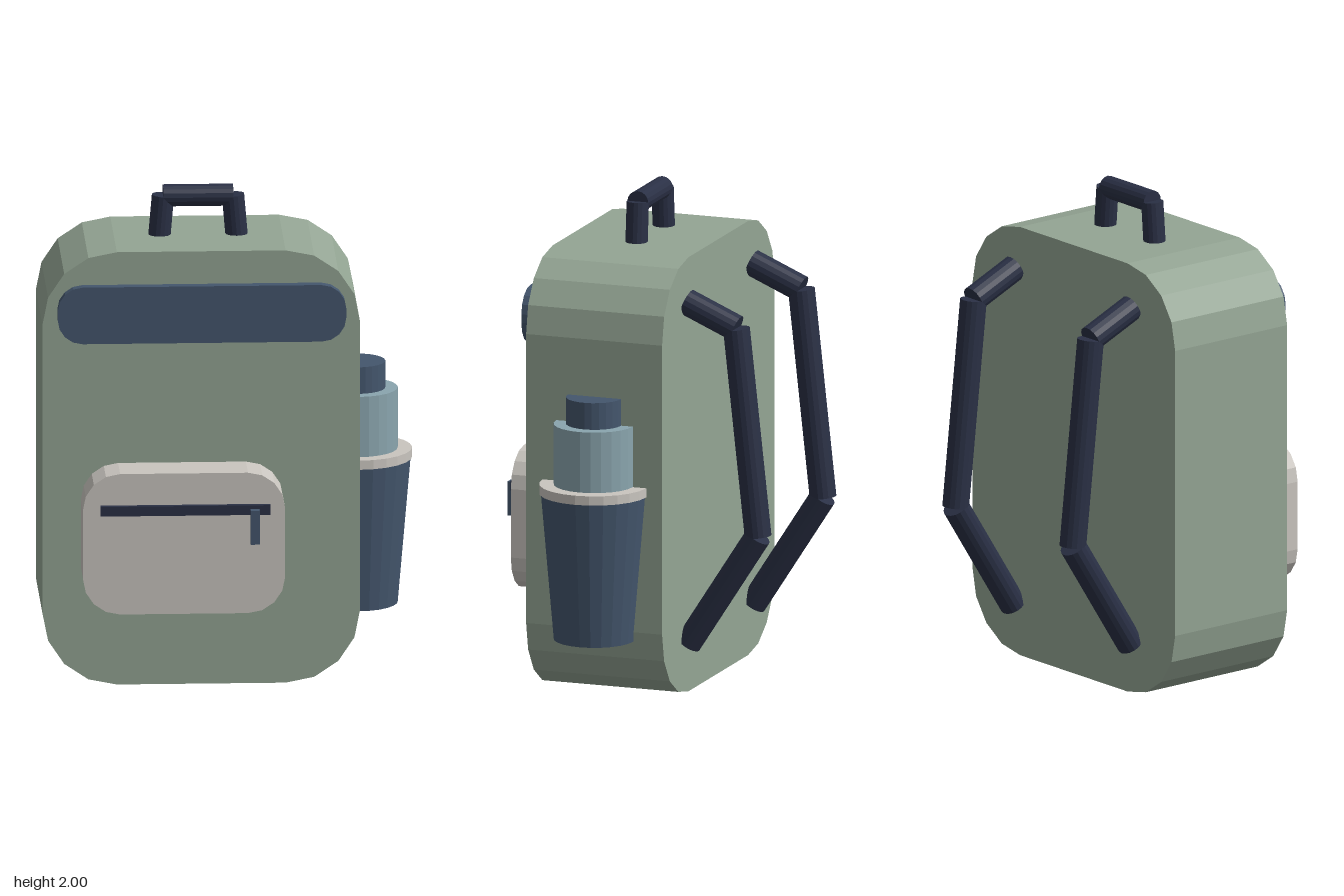
import * as THREE from 'three';

const mat = (name, color) => {
  const m = new THREE.MeshStandardMaterial({ color, flatShading: true });
  m.name = name;
  return m;
};

export function createModel() {
  const sage = mat('sage fabric', 0x94a594);
  const cream = mat('cream fabric', 0xc9c5bf);
  const blue = mat('slate blue', 0x44566d);
  const navy = mat('dark navy', 0x2a3045);
  const aqua = mat('pale aqua', 0x8aa5ae);

  const model = new THREE.Group();
  model.name = 'backpack';

  const add = (name, geometry, material, parent = model) => {
    const mesh = new THREE.Mesh(geometry, material);
    mesh.name = name;
    parent.add(mesh);
    return mesh;
  };

  // Panel with rounded corners in the xy plane, extruded from z0 to z1
  const panel = (name, x0, x1, y0, y1, z0, z1, r, material) => {
    const s = new THREE.Shape();
    s.absarc(x1 - r, y1 - r, r, 0, Math.PI / 2);
    s.absarc(x0 + r, y1 - r, r, Math.PI / 2, Math.PI);
    s.absarc(x0 + r, y0 + r, r, Math.PI, Math.PI * 1.5);
    s.absarc(x1 - r, y0 + r, r, Math.PI * 1.5, Math.PI * 2);
    const g = new THREE.ExtrudeGeometry(s, { depth: z1 - z0, bevelEnabled: false, curveSegments: 2 });
    return add(name, g.translate(0, 0, z0), material);
  };

  const box = (name, x0, x1, y0, y1, z0, z1, material) =>
    add(name, new THREE.BoxGeometry(x1 - x0, y1 - y0, z1 - z0), material)
      .position.set((x0 + x1) / 2, (y0 + y1) / 2, (z0 + z1) / 2);

  // Straight round bar between two points
  const bar = (name, a, b, r, material, parent) => {
    const p = new THREE.Vector3(...a);
    const d = new THREE.Vector3(...b).sub(p);
    const mesh = add(name, new THREE.CylinderGeometry(r, r, d.length(), 16), material, parent);
    mesh.position.copy(p).addScaledVector(d, 0.5);
    mesh.quaternion.setFromUnitVectors(new THREE.Vector3(0, 1, 0), d.normalize());
  };

  // Bag, top flap strip and front pocket
  panel('body', -0.755, 0.525, 0, 1.795, -0.225, 0.36, 0.3, sage);
  panel('topStrip', -0.695, 0.468, 1.425, 1.66, 0.36, 0.402, 0.1, blue);
  panel('frontPocket', -0.6, 0.215, 0.337, 0.92, 0.36, 0.543, 0.15, cream);
  box('zipper', -0.53, 0.155, 0.75, 0.79, 0.535, 0.566, navy);
  box('zipperPull', 0.074, 0.111, 0.634, 0.775, 0.566, 0.596, blue);

  // Side holder with bottle, half sunk into the bag's left side
  const round = (name, rTop, rBottom, y0, y1, material) =>
    add(name, new THREE.CylinderGeometry(rTop, rBottom, y1 - y0, 24), material)
      .position.set(0.525, (y0 + y1) / 2, 0.066);
  round('sideHolder', 0.218, 0.165, 0.26, 0.87, blue);
  round('holderRim', 0.223, 0.223, 0.862, 0.9, cream);
  round('bottle', 0.165, 0.165, 0.88, 1.15, aqua);
  round('bottleCap', 0.115, 0.115, 1.15, 1.26, blue);

  // Carry handle
  const handle = new THREE.Group();
  handle.name = 'carryHandle';
  model.add(handle);
  for (const s of [-1, 1]) {
    bar('handleLeg', [-0.115 + s * 0.157, 1.77, 0.068], [-0.115 + s * 0.141, 1.957, 0.068], 0.045, navy, handle);
  }
  bar('handleGrip', [-0.256, 1.955, 0.068], [0.026, 1.955, 0.068], 0.045, navy, handle);

  // Shoulder straps, three straight pieces each
  const path = [[1.618, -0.23], [1.526, -0.443], [0.674, -0.536], [0.207, -0.236]];
  for (const x of [-0.485, 0.255]) {
    const strap = new THREE.Group();
    strap.name = 'shoulderStrap';
    model.add(strap);
    for (let i = 0; i < 3; i++) {
      bar('strapPiece', [x, ...path[i]], [x, ...path[i + 1]], 0.054, navy, strap);
    }
  }
  return model;
}
